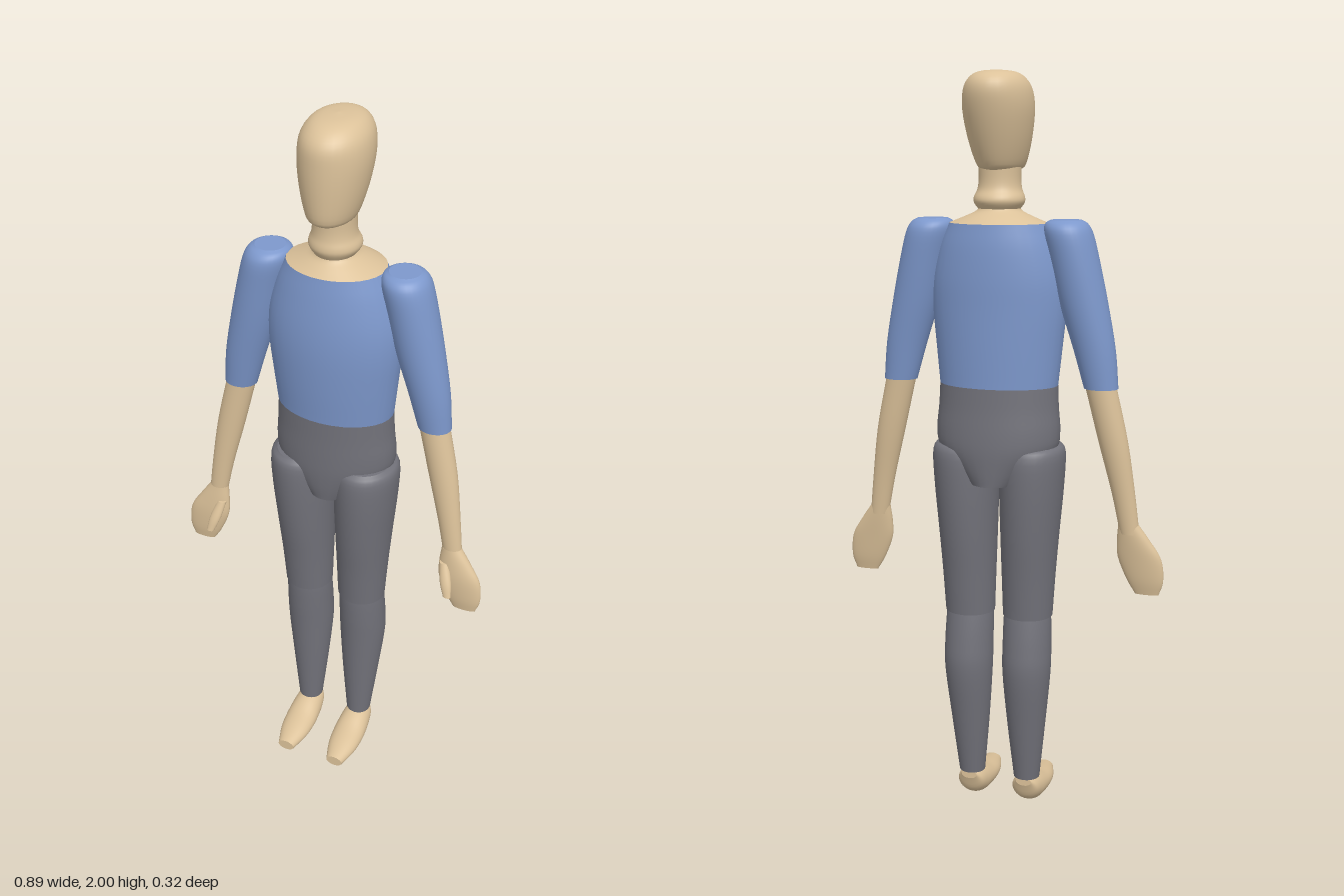
import * as THREE from 'three';

const SEG = 32;

// Smooth loft through elliptical sections [y, centreX, radiusX, zFront, zBack], with flat end caps
function loft(sections, side = 1, sub = 4) {
  const a = new THREE.CatmullRomCurve3(
    sections.map(([y, cx, rx]) => new THREE.Vector3(y, cx * side, rx)), false, 'catmullrom', 0.5);
  const b = new THREE.CatmullRomCurve3(
    sections.map(([, , , f, k]) => new THREE.Vector3(f, k, 0)), false, 'catmullrom', 0.5);
  const rows = (sections.length - 1) * sub;
  const pos = [], index = [], rings = [];
  for (let i = 0; i <= rows; i++) {
    const p = a.getPoint(i / rows), q = b.getPoint(i / rows);
    const ring = [];
    for (let j = 0; j < SEG; j++) {
      const t = (j / SEG) * Math.PI * 2;
      ring.push([p.y + Math.sin(t) * p.z, p.x, (q.x + q.y) / 2 + Math.cos(t) * (q.x - q.y) / 2]);
    }
    rings.push({ ring, mid: [p.y, p.x, (q.x + q.y) / 2] });
  }
  // the first section may be the upper or the lower one
  const up = sections[sections.length - 1][0] > sections[0][0];
  const tri = (u, v, w) => (up ? index.push(u, v, w) : index.push(u, w, v));
  rings.forEach(r => r.ring.forEach(v => pos.push(...v)));
  for (let i = 0; i < rows; i++) {
    for (let j = 0; j < SEG; j++) {
      const n = (j + 1) % SEG, o = i * SEG;
      tri(o + j, o + n, o + SEG + n);
      tri(o + j, o + SEG + n, o + SEG + j);
    }
  }
  // caps have their own vertices so the rims stay sharp
  for (const [r, last] of [[rings[0], false], [rings[rows], true]]) {
    const o = pos.length / 3;
    r.ring.forEach(v => pos.push(...v));
    pos.push(...r.mid);
    for (let j = 0; j < SEG; j++) {
      const n = (j + 1) % SEG;
      if (last) tri(o + j, o + n, o + SEG);
      else tri(o + n, o + j, o + SEG);
    }
  }
  const g = new THREE.BufferGeometry();
  g.setAttribute('position', new THREE.Float32BufferAttribute(pos, 3));
  g.setIndex(index);
  g.computeVertexNormals();
  return g;
}

export function createModel() {
  const mat = (name, color) => {
    const m = new THREE.MeshStandardMaterial({ color });
    m.name = name;
    return m;
  };
  const skin = mat('skin', 0xdcc29a);
  const shirt = mat('shirt blue', 0x7d98cc);
  const trousers = mat('trouser grey', 0x72727a);

  const model = new THREE.Group();
  model.name = 'figure';
  const add = (name, geometry, material) => {
    const m = new THREE.Mesh(geometry, material);
    m.name = name;
    model.add(m);
  };

  // Head and neck
  add('head', loft([
    [1.752, 0, 0.045, 0.052, -0.082], [1.768, 0, 0.062, 0.068, -0.1],
    [1.83, 0, 0.08, 0.074, -0.127], [1.9, 0, 0.09, 0.075, -0.15],
    [1.95, 0, 0.086, 0.07, -0.158], [1.98, 0, 0.07, 0.046, -0.145],
    [1.995, 0, 0.045, 0.01, -0.11], [2.0, 0, 0.002, -0.045, -0.05],
  ]), skin);
  add('neck', loft([
    [1.65, 0, 0.05, 0.022, -0.085], [1.67, 0, 0.065, 0.034, -0.1],
    [1.685, 0, 0.066, 0.035, -0.1], [1.705, 0, 0.058, 0.03, -0.088],
    [1.73, 0, 0.055, 0.028, -0.084], [1.77, 0, 0.056, 0.03, -0.085],
  ]), skin);
  add('collarbone', loft([
    [1.62, 0, 0.13, 0.063, -0.143], [1.635, 0, 0.092, 0.045, -0.122],
    [1.65, 0, 0.06, 0.027, -0.095], [1.665, 0, 0.05, 0.02, -0.085],
  ]), skin);

  // Torso and hips
  add('shirtBody', loft([
    [1.2, 0, 0.16, 0.068, -0.145], [1.3, 0, 0.17, 0.078, -0.148],
    [1.4, 0, 0.179, 0.084, -0.15], [1.48, 0, 0.176, 0.082, -0.152],
    [1.56, 0, 0.156, 0.073, -0.15], [1.62, 0, 0.13, 0.063, -0.143],
  ]), shirt);
  add('hips', loft([
    [0.94, 0, 0.075, 0.056, -0.15], [0.98, 0, 0.115, 0.062, -0.153],
    [1.03, 0, 0.16, 0.066, -0.155], [1.08, 0, 0.168, 0.067, -0.153],
    [1.14, 0, 0.163, 0.067, -0.148], [1.2, 0, 0.16, 0.068, -0.145],
  ]), trousers);

  for (const [label, s] of [['left', 1], ['right', -1]]) {
    // Arm
    add(label + 'Sleeve', loft([
      [1.2, 0.277, 0.045, 0.001, -0.076], [1.3, 0.258, 0.055, 0.012, -0.086],
      [1.42, 0.228, 0.063, 0.022, -0.098], [1.53, 0.203, 0.064, 0.028, -0.107],
      [1.595, 0.187, 0.063, 0.029, -0.109], [1.62, 0.181, 0.055, 0.018, -0.098],
      [1.63, 0.18, 0.04, 0, -0.08],
    ], s), shirt);
    add(label + 'Forearm', loft([
      [0.81, 0.356, 0.026, 0.004, -0.036], [0.92, 0.338, 0.031, 0.004, -0.047],
      [1.06, 0.31, 0.039, 0.002, -0.063], [1.21, 0.275, 0.041, -0.002, -0.073],
    ], s), skin);

    // Hand
    add(label + 'Hand', loft([
      [0.64, 0.403, 0.032, 0.006, -0.009], [0.68, 0.397, 0.05, 0.012, -0.018],
      [0.74, 0.382, 0.059, 0.014, -0.026], [0.79, 0.366, 0.045, 0.01, -0.032],
      [0.835, 0.352, 0.027, 0.004, -0.036],
    ], s), skin);
    add(label + 'Thumb', loft([
      [0.7, 0.363, 0.011, 0.044, 0.03], [0.74, 0.352, 0.016, 0.034, 0.012],
      [0.79, 0.338, 0.013, 0.012, -0.012],
    ], s), skin);

    // Leg
    add(label + 'Thigh', loft([
      [0.565, 0.082, 0.068, 0.028, -0.105], [0.68, 0.084, 0.073, 0.04, -0.116],
      [0.8, 0.087, 0.079, 0.056, -0.13], [0.93, 0.091, 0.086, 0.068, -0.14],
      [1.02, 0.093, 0.087, 0.068, -0.138], [1.045, 0.092, 0.07, 0.05, -0.11],
    ], s), trousers);
    add(label + 'Shin', loft([
      [0.085, 0.08, 0.036, 0, -0.072], [0.25, 0.081, 0.053, 0.008, -0.098],
      [0.4, 0.083, 0.066, 0.015, -0.12], [0.48, 0.083, 0.067, 0.02, -0.116],
      [0.56, 0.082, 0.065, 0.023, -0.104], [0.6, 0.082, 0.06, 0.02, -0.095],
    ], s), trousers);

    // Foot, lofted from heel to toe and laid forward
    add(label + 'Foot', loft([
      [-0.068, 0.08, 0.022, -0.066, -0.09], [-0.05, 0.08, 0.037, -0.024, -0.09],
      [-0.02, 0.08, 0.043, -0.004, -0.088], [0.01, 0.08, 0.046, 0, -0.08],
      [0.05, 0.08, 0.047, 0, -0.066], [0.1, 0.08, 0.042, -0.002, -0.055],
      [0.158, 0.08, 0.025, -0.008, -0.042],
    ], s).rotateX(Math.PI / 2), skin);
  }
  return model;
}
